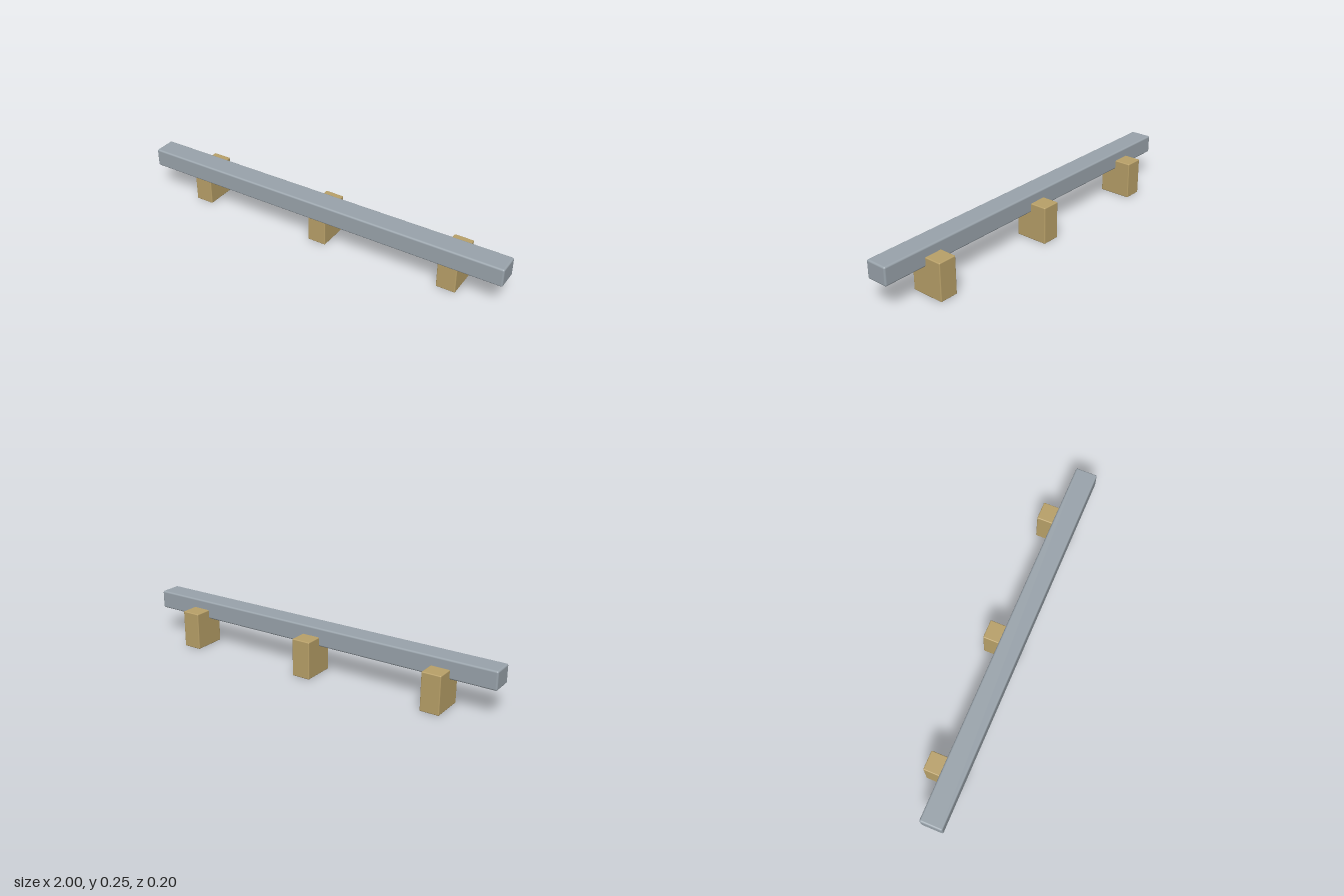
import * as THREE from 'three';
import { RoundedBoxGeometry } from 'three/addons/geometries/RoundedBoxGeometry.js';

export function createModel() {
  const model = new THREE.Group();
  model.name = 'railOnBlocks';

  const steel = new THREE.MeshStandardMaterial({ color: 0x9aa4ac });
  steel.name = 'grey steel';
  const wood = new THREE.MeshStandardMaterial({ color: 0xb9a169 });
  wood.name = 'tan wood';

  // Rounded box given by its lower and upper corners
  function addBox(name, min, max, radius, material) {
    const size = max.map((v, i) => v - min[i]);
    const mesh = new THREE.Mesh(new RoundedBoxGeometry(...size, 3, radius), material);
    mesh.position.set(...max.map((v, i) => (v + min[i]) / 2));
    mesh.name = name;
    model.add(mesh);
  }

  // Long rail
  addBox('rail', [-1, 0.15, -0.013], [1, 0.246, 0.103], 0.009, steel);

  // Three supporting blocks, set behind and under the rail
  ['rightBlock', 'middleBlock', 'leftBlock'].forEach((name, i) => {
    const x = (i - 1) * 0.718;
    addBox(name, [x - 0.05, 0, -0.102], [x + 0.05, 0.198, 0.074], 0.005, wood);
  });

  return model;
}
